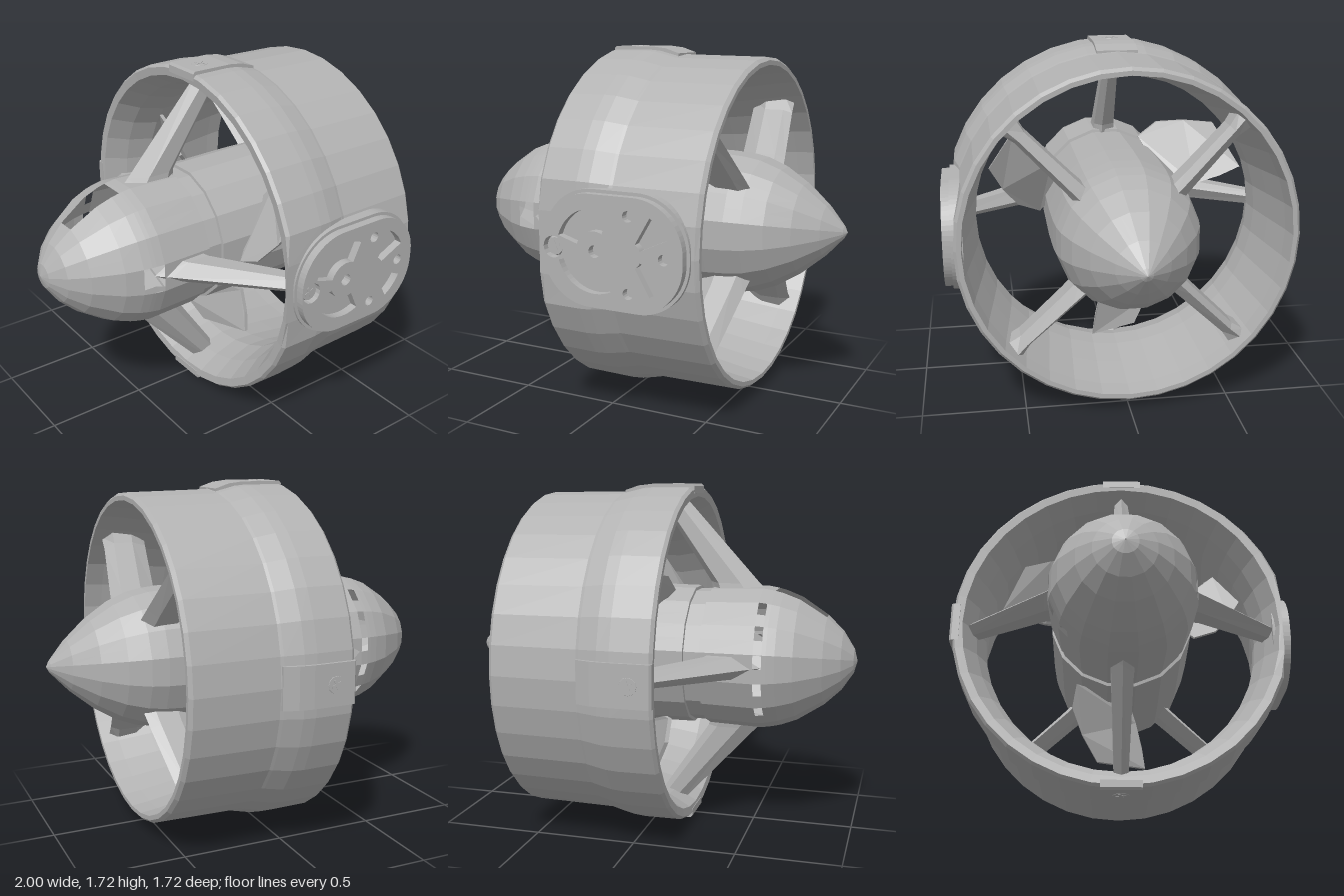
import * as THREE from 'three';

const AXIS_Y = 0.858;

export function createModel() {
  const model = new THREE.Group();
  model.name = 'ductedThruster';
  const body = new THREE.Group();
  body.name = 'thrusterBody';
  body.position.y = AXIS_Y; // everything is built around the x axis
  model.add(body);

  const grey = new THREE.MeshStandardMaterial({ color: 0xb2b2b2, flatShading: true, side: THREE.DoubleSide });
  grey.name = 'grey';

  const part = (name, geometry, parent = body) => {
    const mesh = new THREE.Mesh(geometry, grey);
    mesh.name = name;
    parent.add(mesh);
    return mesh;
  };

  // group whose +y points outward from the axis at the given angle (0 = up, PI/2 = front)
  const radial = (name, angle) => {
    const g = new THREE.Group();
    g.name = name;
    g.rotation.x = angle;
    body.add(g);
    return g;
  };

  // skin between closed rings of points, leaving out cells where skip(ring, side) is true
  const loft = (rings, skip = () => false) => {
    const n = rings[0].length;
    const index = [];
    for (let i = 0; i < rings.length - 1; i++) {
      for (let j = 0; j < n; j++) {
        if (skip(i, j)) continue;
        const a = i * n + j, b = i * n + (j + 1) % n;
        index.push(a, b, a + n, b, b + n, a + n);
      }
    }
    const g = new THREE.BufferGeometry();
    g.setAttribute('position', new THREE.Float32BufferAttribute(rings.flat(2), 3));
    g.setIndex(index);
    g.computeVertexNormals();
    return g;
  };

  // Duct ring: [radius, x], outer wall with a wider intake half, then the narrowing bore
  const duct = [
    [0.795, -0.19], [0.835, -0.195], [0.848, -0.18], [0.85, 0.0], [0.845, 0.06], [0.823, 0.15], [0.818, 0.165],
    [0.812, 0.575], [0.797, 0.592], [0.775, 0.592], [0.765, 0.5], [0.735, 0.32],
    [0.71, 0.16], [0.703, 0.05], [0.738, -0.08], [0.795, -0.19],
  ].map(([r, x]) => new THREE.Vector2(r, x));
  const ductGeometry = new THREE.LatheGeometry(duct, 36).rotateZ(-Math.PI / 2);
  // flatten the wall behind the front plate
  const dp = ductGeometry.attributes.position;
  for (let i = 0; i < dp.count; i++) dp.setZ(i, Math.min(dp.getZ(i), 0.81));
  part('duct', ductGeometry);

  // Hub: [x, radius] rings of 16 flat sides, each split in two so openings can be cut
  const hub = [
    [-1, 0.003], [-0.985, 0.06], [-0.93, 0.145], [-0.85, 0.222], [-0.72, 0.307], [-0.64, 0.338],
    [-0.6, 0.348], [-0.58, 0.352], [-0.54, 0.358], [-0.28, 0.35], [-0.278, 0.335], [-0.2, 0.335],
    [-0.198, 0.35], [0.2, 0.355], [0.4, 0.352], [0.5, 0.345], [0.58, 0.33], [0.68, 0.29],
    [0.79, 0.22], [0.9, 0.125], [0.985, 0.03], [1, 0.003],
  ];
  const SIDES = 32;
  const hubRings = hub.map(([x, r]) => Array.from({ length: SIDES }, (_, j) => {
    const a = (j / SIDES) * Math.PI * 2;
    const rr = j % 2 ? r : r * Math.cos(Math.PI * 2 / SIDES);
    return [x, rr * Math.cos(a), rr * Math.sin(a)];
  }));
  part('hub', loft(hubRings, (i, j) => {
    const topOpening = i >= 3 && i <= 5 && (j === SIDES - 1 || j === 0);
    const frontOpening = i >= 5 && i <= 7 && (j === 7 || j === 8);
    const vents = i === 7 && j >= 20 && j <= 28 && j % 2 === 0;
    return topOpening || frontOpening || vents;
  }));

  // Strut sections: [radius, x start, x end, width]
  const strut = (sections) => loft(sections.map(([r, x0, x1, w]) => {
    const c = x1 - x0, m = x0 + c * 0.35, n = x1 - c * 0.2;
    return [[m, r, w / 2], [n, r, w / 2], [x1, r, w * 0.15], [n, r, -w / 2], [m, r, -w / 2], [x0, r, 0]];
  }));
  const noseStrut = strut([[0.31, -0.57, -0.27, 0.12], [0.37, -0.51, -0.26, 0.105], [0.82, -0.1, 0.04, 0.065]]);
  const tailStrut = strut([[0.28, 0.35, 0.6, 0.085], [0.4, 0.35, 0.585, 0.075], [0.7, 0.32, 0.545, 0.065], [0.78, 0.31, 0.54, 0.1]]);
  for (let k = 0; k < 4; k++) {
    part('noseStrut', noseStrut, radial('noseStrutArm', k * Math.PI / 2));
    part('tailStrut', tailStrut, radial('tailStrutArm', (k + 0.5) * Math.PI / 2));
  }

  // Propeller: skewed thin blades, pitched by shearing along the axis
  const outline = [[-0.04, 0.3], [-0.08, 0.42], [-0.11, 0.55], [-0.125, 0.66], [0.115, 0.66], [0.19, 0.54], [0.24, 0.42], [0.22, 0.3]];
  const blade = new THREE.ExtrudeGeometry(
    new THREE.Shape(outline.map(([x, y]) => new THREE.Vector2(x, y))), { depth: 0.02, bevelEnabled: false });
  blade.rotateY(-Math.PI / 2);
  const p = blade.attributes.position;
  for (let i = 0; i < p.count; i++) p.setX(i, p.getX(i) + 0.08 - p.getZ(i) * (1.1 - p.getY(i)));
  blade.computeVertexNormals();
  for (let k = 0; k < 3; k++) part('propellerBlade', blade, radial('propellerArm', Math.PI + k * Math.PI * 2 / 3));

  // Cross-head screw pointing along +y
  const screw = (parent, x, y) => {
    const s = new THREE.Group();
    s.name = 'screw';
    s.position.set(x, y, 0);
    parent.add(s);
    part('screwHead', new THREE.CylinderGeometry(0.04, 0.045, 0.012, 12), s);
    for (const turn of [0, Math.PI / 2]) {
      const bar = part('screwCross', new THREE.BoxGeometry(0.05, 0.006, 0.012), s);
      bar.position.y = 0.005;
      bar.rotation.y = turn + 0.4;
    }
  };

  // Mounting lugs, almost flush, on the top, bottom and back of the duct
  const lugShape = new THREE.Shape([
    [-0.195, 0.81], [0.16, 0.77], [0.16, 0.825], [0.09, 0.848], [0.02, 0.856], [-0.185, 0.856], [-0.195, 0.845],
  ].map(([x, y]) => new THREE.Vector2(x, y)));
  const lugGeometry = new THREE.ExtrudeGeometry(lugShape, { depth: 0.2, bevelEnabled: false }).translate(0, 0, -0.1);
  for (const angle of [0, Math.PI, -Math.PI / 2]) {
    const arm = radial('mountingLug', angle);
    part('lugBlock', lugGeometry, arm);
    screw(arm, -0.09, 0.852);
  }

  // Front plate: solid base with a pocketed cover
  const roundedRect = (w, h, r) => {
    const s = new THREE.Shape();
    s.absarc(w - r, h - r, r, 0, Math.PI / 2);
    s.absarc(r - w, h - r, r, Math.PI / 2, Math.PI);
    s.absarc(r - w, r - h, r, Math.PI, Math.PI * 1.5);
    s.absarc(w - r, r - h, r, Math.PI * 1.5, Math.PI * 2);
    s.closePath();
    return s;
  };
  const hole = (x, y, r) => new THREE.Path().absarc(x, y, r, 0, Math.PI * 2, true);
  const sector = (x, r0, r1, from, to) => {
    const a = THREE.MathUtils.degToRad(from), b = THREE.MathUtils.degToRad(to);
    const s = new THREE.Path();
    s.absarc(x, 0, r1, a, b, false);
    s.absarc(x, 0, r0, b, a, true);
    s.closePath();
    return s;
  };
  const plate = new THREE.Group();
  plate.name = 'frontPlate';
  plate.position.x = 0.2;
  body.add(plate);
  const extrude = (shape, depth) => new THREE.ExtrudeGeometry(shape, { depth, bevelEnabled: false, curveSegments: 8 });
  part('plateBase', extrude(roundedRect(0.36, 0.268, 0.25), 0.055), plate).position.z = 0.765;
  const cover = roundedRect(0.345, 0.253, 0.235);
  cover.holes.push(
    hole(-0.08, 0, 0.028), hole(-0.29, 0, 0.05), hole(0.255, 0, 0.025), hole(0.085, 0.17, 0.025), hole(0.085, -0.17, 0.025),
    sector(-0.08, 0.09, 0.19, 65, 163), sector(-0.08, 0.09, 0.19, 197, 295),
    sector(0.09, 0.06, 0.2, 25, 60), sector(0.09, 0.06, 0.2, -60, -25),
  );
  part('plateCover', extrude(cover, 0.038), plate).position.z = 0.82;
  screw(radial('plateScrew', Math.PI / 2), -0.09, 0.835);

  return model;
}
